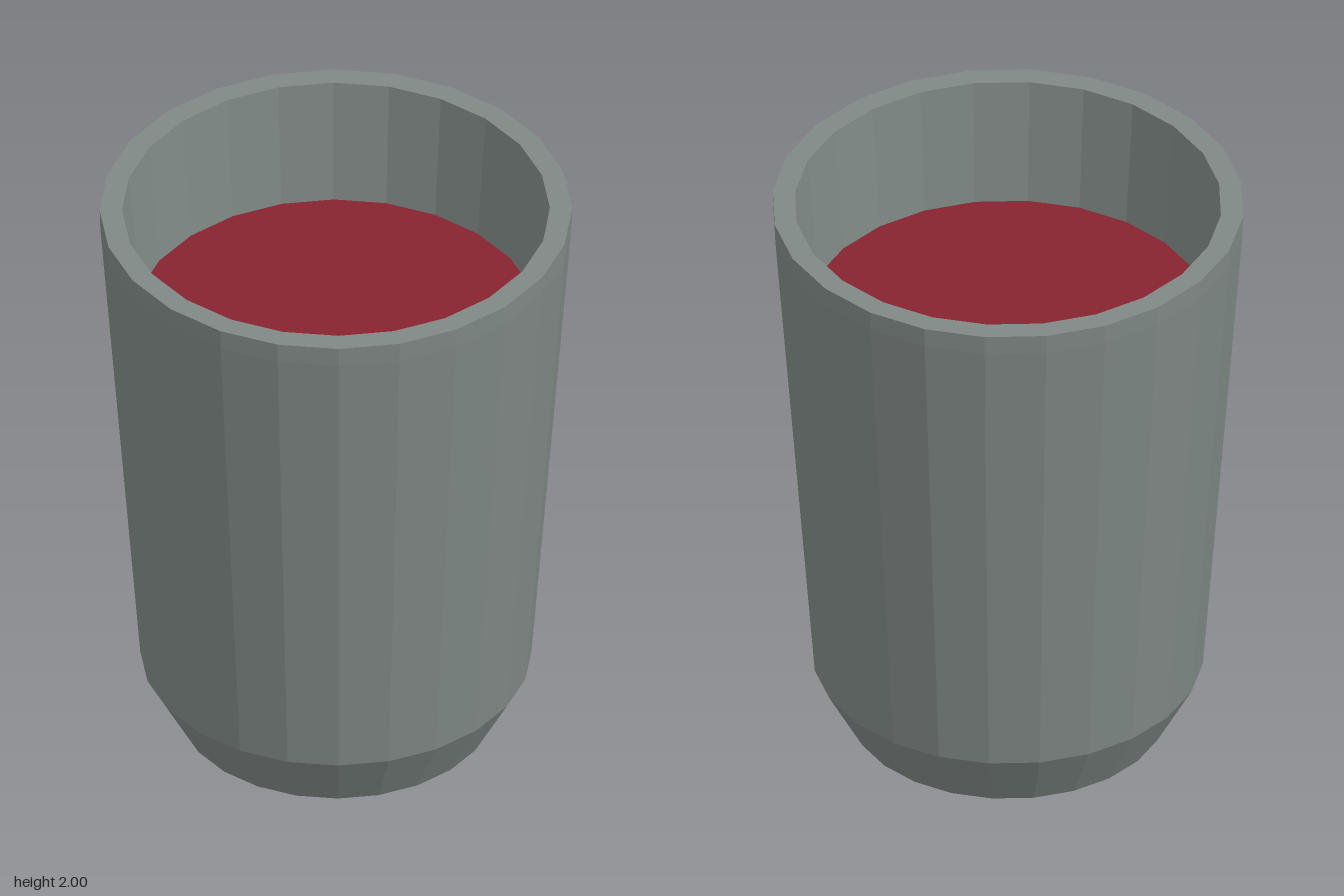
import * as THREE from 'three';

const SIDES = 24;

export function createModel() {
  const model = new THREE.Group();
  model.name = 'cup';

  const stoneGrey = new THREE.MeshStandardMaterial({ color: 0x7f8885, flatShading: true });
  stoneGrey.name = 'stoneGrey';
  const wineRed = new THREE.MeshStandardMaterial({ color: 0x87242f, flatShading: true });
  wineRed.name = 'wineRed';

  // Cup wall: base, chamfer, tapered side, upright lip, rim, then the inside down to the floor
  const profile = [
    [0, 0], [0.52, 0], [0.638, 0.22], [0.768, 1.93], [0.77, 2],
    [0.697, 2], [0.66, 1.55], [0.565, 0.25], [0.48, 0.1], [0, 0.1],
  ].map(([r, y]) => new THREE.Vector2(r, y));
  const cup = new THREE.Mesh(new THREE.LatheGeometry(profile, SIDES), stoneGrey);
  cup.name = 'cupBody';
  model.add(cup);

  // Drink surface inside the cup
  const drinkShape = new THREE.CircleGeometry(0.661, SIDES).rotateX(-Math.PI / 2);
  const drink = new THREE.Mesh(drinkShape, wineRed);
  drink.name = 'drinkSurface';
  drink.position.y = 1.555;
  model.add(drink);

  return model;
}
